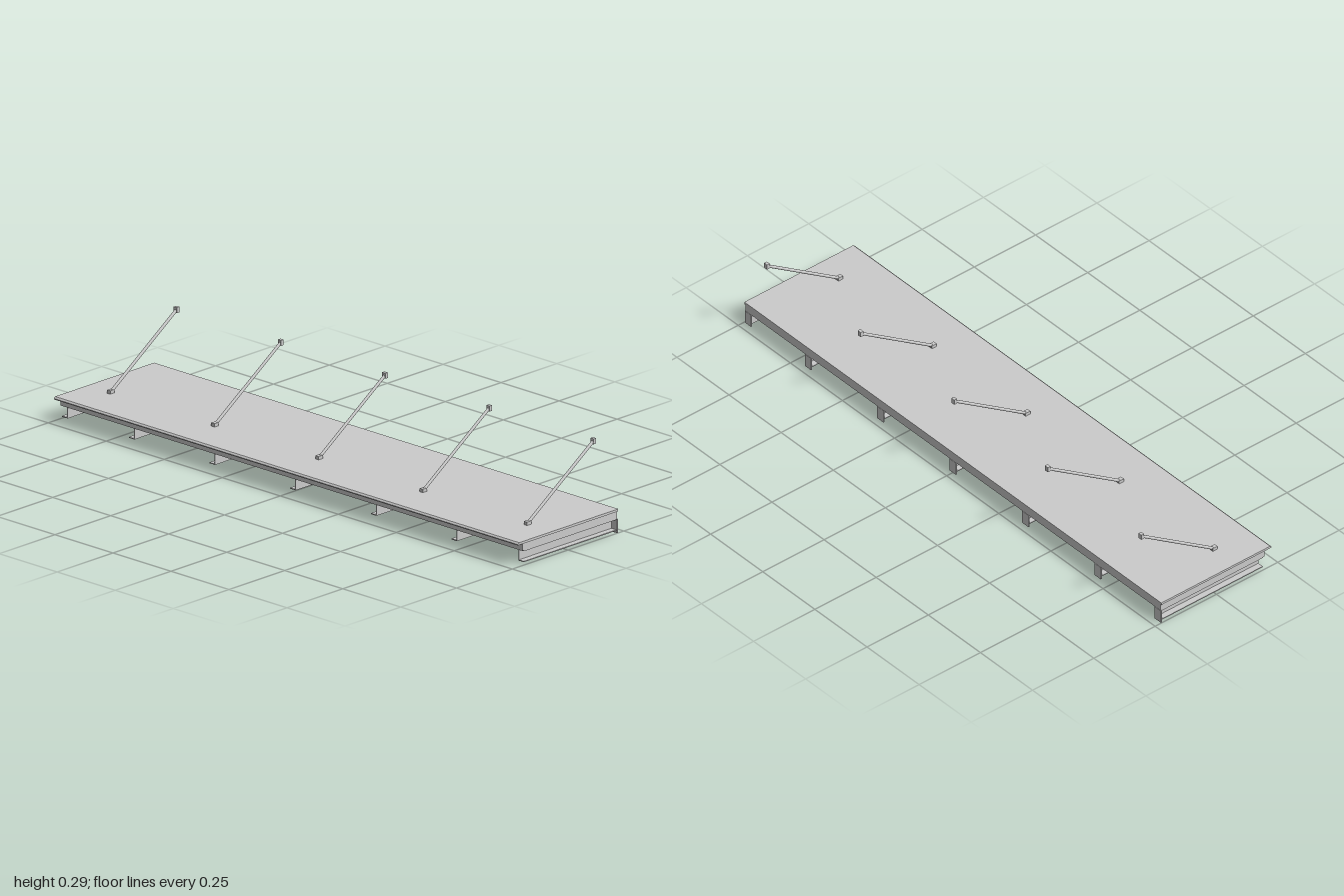
import * as THREE from 'three';

const mat = new THREE.MeshStandardMaterial({ color: 0xcccccc, flatShading: true });
const smooth = new THREE.MeshStandardMaterial({ color: 0xcccccc });

export function createModel() {
  const model = new THREE.Group();
  model.name = 'suspendedCanopy';

  // Box given by its min and max corners
  const box = (name, x0, x1, y0, y1, z0, z1, parent = model) => {
    const m = new THREE.Mesh(new THREE.BoxGeometry(x1 - x0, y1 - y0, z1 - z0), mat);
    m.position.set((x0 + x1) / 2, (y0 + y1) / 2, (z0 + z1) / 2);
    m.name = name;
    parent.add(m);
    return m;
  };

  // Profile in the (z, y) plane, extruded along x
  const extrudeX = (name, points, length) => {
    const shape = new THREE.Shape(points.map(([z, y]) => new THREE.Vector2(-z, y)));
    const geo = new THREE.ExtrudeGeometry(shape, { depth: length, bevelEnabled: false });
    geo.translate(0, 0, -length / 2).rotateY(Math.PI / 2);
    const m = new THREE.Mesh(geo, mat);
    m.name = name;
    model.add(m);
  };

  // Roof deck with a chamfered front lip
  extrudeX('roofDeck', [[-0.225, 0.072], [0.225, 0.072], [0.225, 0.075], [0.219, 0.08], [-0.225, 0.08]], 2);

  // Upper frame: front, middle and back purlins plus flat end rails
  box('frontPurlin', -0.995, 0.995, 0.047, 0.072, 0.188, 0.2);
  box('middlePurlin', -0.985, 0.985, 0.047, 0.072, -0.006, 0.006);
  box('backPurlin', -0.995, 0.995, 0.047, 0.072, -0.224, -0.212);
  for (const s of [-1, 1]) {
    const x = s * 0.99;
    box('endRail', x - 0.005, x + 0.005, 0.047, 0.072, -0.224, 0.2);
  }

  // Channel cross beams with wall plates; open selects the side the flanges point to
  const addBeam = (x, open) => {
    const beam = new THREE.Group();
    beam.name = 'crossBeam';
    beam.position.x = x;
    const w = 0.012, t = 0.003;
    const webA = -open * w, webB = -open * (w - t);
    box('web', Math.min(webA, webB), Math.max(webA, webB), 0.008, 0.047, -0.221, 0.193, beam);
    box('topFlange', -w, w, 0.044, 0.047, -0.221, 0.193, beam);
    box('bottomFlange', -w, w, 0.008, 0.011, -0.221, 0.193, beam);
    box('wallPlate', -0.015, 0.015, 0.001, 0.047, -0.225, -0.221, beam);
    model.add(beam);
  };
  for (const x of [-0.983, -0.695, -0.348, 0, 0.348, 0.695]) addBeam(x, -1);
  addBeam(0.983, 1);

  // Inclined tie rods with deck and wall brackets
  const low = new THREE.Vector3(0, 0.086, 0.072), high = new THREE.Vector3(0, 0.28, -0.219);
  const dir = high.clone().sub(low);
  const rodGeo = new THREE.CylinderGeometry(0.005, 0.005, dir.length(), 12);
  for (let i = -2; i <= 2; i++) {
    const tie = new THREE.Group();
    tie.name = 'tieRod';
    tie.position.x = i * 0.449;
    const rod = new THREE.Mesh(rodGeo, smooth);
    rod.name = 'rod';
    rod.position.copy(low).add(high).multiplyScalar(0.5);
    rod.quaternion.setFromUnitVectors(new THREE.Vector3(0, 1, 0), dir.clone().normalize());
    tie.add(rod);
    box('deckBracket', -0.007, 0.007, 0.08, 0.091, 0.066, 0.085, tie);
    box('wallBracket', -0.007, 0.007, 0.272, 0.29, -0.225, -0.214, tie);
    model.add(tie);
  }
  return model;
}
